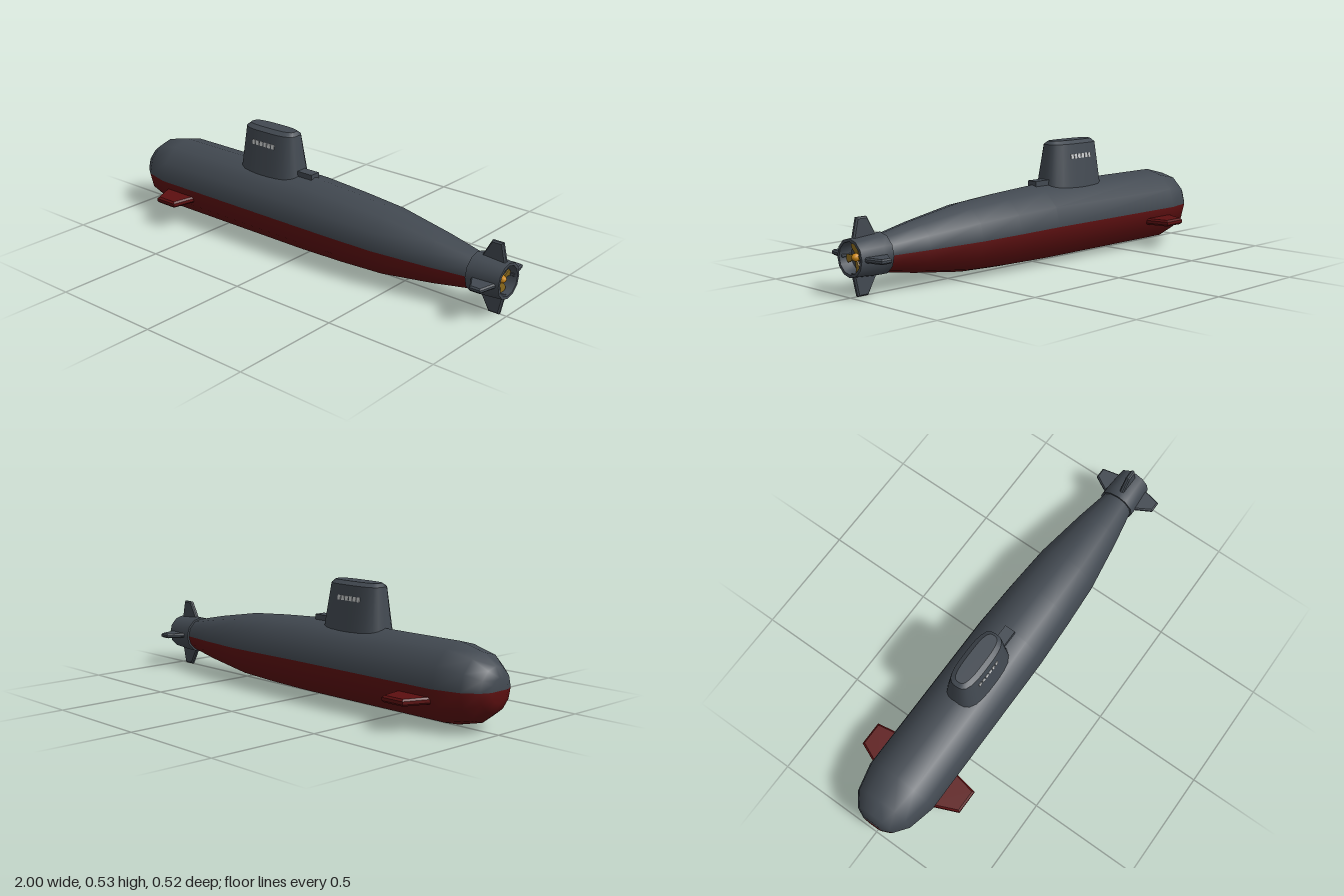
import * as THREE from 'three';
import { toCreasedNormals } from 'three/addons/utils/BufferGeometryUtils.js';

const mat = (name, color, side = THREE.FrontSide) => {
  const m = new THREE.MeshStandardMaterial({ color, side });
  m.name = name;
  return m;
};

export function createModel() {
  const grey = mat('hull grey', 0x424951);
  const red = mat('keel red', 0x5c0f10);
  const brass = mat('brass', 0xcf8a18);
  const darkBrass = mat('dark brass', 0x8a6a1e);
  const white = mat('marking white', 0xc8cacb);

  const model = new THREE.Group();
  model.name = 'submarine';
  const add = (name, geo, material, parent = model) => {
    const mesh = new THREE.Mesh(geo, material);
    mesh.name = name;
    parent.add(mesh);
    return mesh;
  };
  const shape = (pts) => new THREE.Shape(pts.map(([x, y]) => new THREE.Vector2(x, y)));

  // Lathe turned so its axis runs along x; each profile point is [x, radius]
  const latheX = (profile, start = 0, length = Math.PI * 2, sides = 12) =>
    new THREE.LatheGeometry(profile.map(([x, r]) => new THREE.Vector2(r, x)), sides, start, length)
      .rotateZ(-Math.PI / 2);

  // Hull: lower red half and upper grey half, axis sinking towards the stern
  const hullProfile = [
    [-1, 0], [-1, 0.05], [-0.98, 0.093], [-0.92, 0.139], [-0.8, 0.168], [0, 0.168],
    [0.22, 0.159], [0.43, 0.146], [0.68, 0.108], [0.85, 0.076], [0.9, 0.066],
  ];
  const hullHalf = (start) => {
    const geo = latheX(hullProfile, start, Math.PI, 6);
    const p = geo.attributes.position;
    for (let i = 0; i < p.count; i++) {
      p.setY(i, p.getY(i) + 0.175 - 0.018 * Math.max(0, p.getX(i)) / 0.85);
    }
    return geo;
  };
  add('lowerHull', hullHalf(0), red);
  add('upperHull', hullHalf(Math.PI), grey);

  // Sail: rounded outlines stacked from top to bottom as [y, front x, rear x, half width]
  const levels = [
    [0.527, -0.365, -0.115, 0.036], [0.512, -0.382, -0.1, 0.057],
    [0.33, -0.4, -0.075, 0.084], [0.27, -0.405, -0.068, 0.092],
  ];
  const sail = new THREE.CylinderGeometry(1, 1, 1, 28, levels.length - 1);
  const sp = sail.attributes.position;
  for (let i = 0; i < sp.count; i++) {
    const [y, x0, x1, w] = levels[Math.round((0.5 - sp.getY(i)) * (levels.length - 1))];
    const a = sp.getX(i), b = sp.getZ(i);
    const k = 1 / Math.max(Math.pow(Math.abs(a) ** 3.2 + Math.abs(b) ** 3.2, 1 / 3.2), 0.01);
    sp.setXYZ(i, (x0 + x1) / 2 + a * k * (x1 - x0) / 2, y, b * k * w);
  }
  add('sail', toCreasedNormals(sail, 0.6), grey);

  // Step behind the sail
  add('sailStep', new THREE.BoxGeometry(0.1, 0.04, 0.05).translate(-0.05, 0.34, 0), grey);

  // Rows of small marks on both sides of the sail
  for (const s of [1, -1]) {
    const marks = new THREE.Group();
    marks.name = s > 0 ? 'leftMarks' : 'rightMarks';
    for (let i = 0; i < 6; i++) {
      const m = add('mark', new THREE.BoxGeometry(0.016, 0.02, 0.008), white, marks);
      m.position.set(-0.302 + i * 0.0226, 0.457, s * 0.063);
      m.rotation.x = -s * 0.14;
    }
    model.add(marks);
  }

  // Flat fin with bevelled edges, drawn as x against outward distance
  const fin = (pts, thickness, bevel) =>
    new THREE.ExtrudeGeometry(shape(pts), {
      depth: thickness - 2 * bevel, bevelEnabled: true, bevelSegments: 1,
      bevelThickness: bevel, bevelSize: bevel, bevelOffset: -bevel,
    }).translate(0, 0, bevel - thickness / 2);

  // Bow planes
  const bowPts = [[-0.8, 0.12], [-0.605, 0.12], [-0.63, 0.262], [-0.74, 0.262]];
  for (const s of [1, -1]) {
    const plane = add(s > 0 ? 'leftBowPlane' : 'rightBowPlane', fin(bowPts, 0.029, 0.008), red);
    plane.position.y = 0.124;
    plane.rotation.x = s * Math.PI / 2;
  }

  // Stern: shroud, four fins and propeller around the sunken axis
  const stern = new THREE.Group();
  stern.name = 'stern';
  stern.position.y = 0.157;
  model.add(stern);
  const shroud = latheX([
    [0.85, 0.06], [0.85, 0.085], [0.89, 0.085], [1, 0.077], [1, 0.065], [0.945, 0.062], [0.945, 0],
  ]);
  add('shroud', toCreasedNormals(shroud, 0.6), grey, stern);

  const finPts = [[0.865, 0.06], [0.99, 0.06], [0.985, 0.08], [0.968, 0.155], [0.918, 0.155]];
  const bladePts = [[-0.004, 0.01], [-0.022, 0.033], [-0.027, 0.047], [-0.016, 0.057],
    [0.004, 0.06], [0.004, 0.04], [0.011, 0.01]];
  const propeller = new THREE.Group();
  propeller.name = 'propeller';
  stern.add(propeller);
  for (let i = 0; i < 4; i++) {
    add('sternFin', fin(finPts, 0.021, 0.006), grey, stern).rotation.x = i * Math.PI / 2;
    const blade = new THREE.ExtrudeGeometry(shape(bladePts), { depth: 0.006, bevelEnabled: false })
      .rotateY(Math.PI / 2 + 0.2).translate(0.962, 0, 0);
    add('blade', blade, darkBrass, propeller).rotation.x = i * Math.PI / 2;
  }
  add('propellerHub', latheX([[0.94, 0.016], [0.975, 0.016], [0.985, 0.009], [0.987, 0]]), brass, propeller);

  return model;
}
